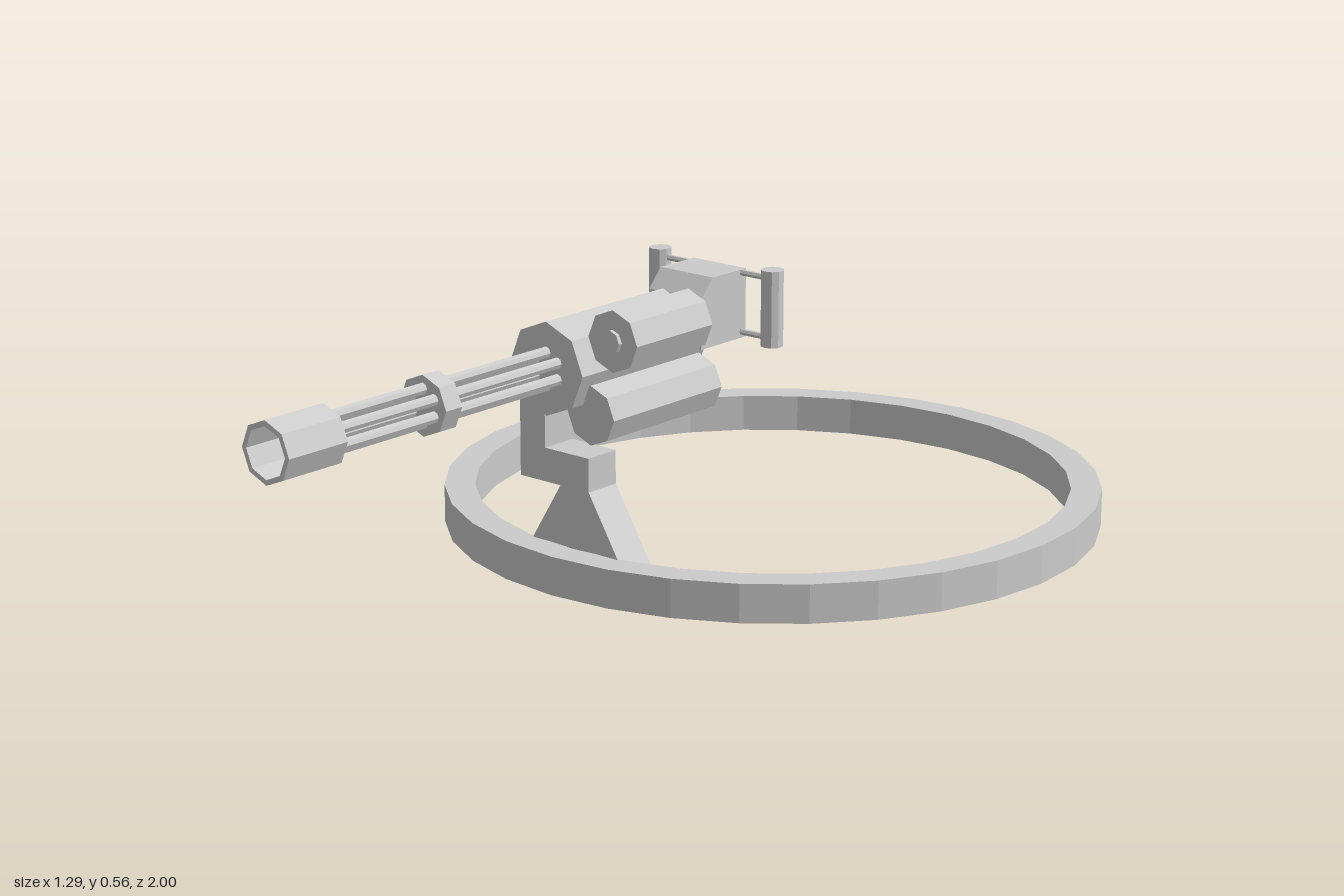
import * as THREE from 'three';

export function createModel() {
  const model = new THREE.Group();
  const mat = new THREE.MeshStandardMaterial({ color: 0xcccccc, flatShading: true });
  const cx = 0.012, cy = 0.44; // barrel axis

  const add = (name, geo, parent = model) => {
    const mesh = new THREE.Mesh(geo, mat);
    mesh.name = name;
    parent.add(mesh);
    return mesh;
  };
  const group = (name) => {
    const g = new THREE.Group();
    g.name = name;
    model.add(g);
    return g;
  };
  // Prism or cylinder lying along z
  const alongZ = (x, y, z0, z1, r, sides = 8) =>
    new THREE.CylinderGeometry(r, r, z1 - z0, sides)
      .rotateX(Math.PI / 2).translate(x, y, (z0 + z1) / 2);
  // Square-section ring standing on y = 0
  const ring = (ri, ro, h, sides) => new THREE.LatheGeometry(
    [[ri, 0], [ro, 0], [ro, h], [ri, h], [ri, 0]].map(p => new THREE.Vector2(...p)), sides);
  const extrude = (pts, depth) => new THREE.ExtrudeGeometry(
    new THREE.Shape(pts.map(p => new THREE.Vector2(...p))), { depth, bevelEnabled: false });
  // Side profile of (z, y) points, extruded from x0 to x1
  const sideProfile = (pts, x0, x1) =>
    extrude(pts, x1 - x0).rotateY(-Math.PI / 2).translate(x1, 0, 0);

  // Mounting ring
  add('mountingRing', ring(0.585, 0.645, 0.075, 32).translate(0, 0, -0.355));

  // Pedestal with offset arm, inside the front of the ring
  const mount = group('mount');
  add('pedestal', extrude([
    [-0.122, 0], [0.122, 0], [0.122, 0.048], [0.035, 0.19], [0.035, 0.255],
    [-0.073, 0.255], [-0.073, 0.19], [-0.035, 0.19], [-0.122, 0.048],
  ], 0.075).translate(0, 0, 0.15), mount);
  add('mountArm', sideProfile([
    [0.15, 0.19], [0.225, 0.19], [0.225, 0.435], [0.2, 0.46], [0.15, 0.46],
  ], -0.135, -0.073), mount);

  // Receiver
  const receiver = group('receiver');
  add('receiverBody', alongZ(cx, cy, -0.01, 0.312, 0.088), receiver);
  add('receiverRear', alongZ(cx, cy, -0.06, -0.01, 0.07), receiver);

  // Drive motor and feed drum on the left side
  add('motor', alongZ(0.133, 0.503, 0.06, 0.268, 0.058), receiver);
  add('motorCap', alongZ(0.133, 0.503, 0.26, 0.276, 0.022), receiver);
  add('feedDrum', alongZ(0.093, 0.361, -0.018, 0.283, 0.056), receiver);

  // Rotary barrel cluster
  const barrels = group('barrelCluster');
  for (let i = 0; i < 6; i++) {
    const a = Math.PI / 2 + i * Math.PI / 3;
    add('barrel', alongZ(cx + 0.031 * Math.cos(a), cy + 0.031 * Math.sin(a), 0.3, 0.9, 0.011, 8), barrels);
  }
  add('barrelClamp', alongZ(cx, cy, 0.588, 0.628, 0.056), barrels);
  add('muzzlePlate', alongZ(cx, cy, 0.866, 0.885, 0.052), barrels);
  add('muzzleShroud', ring(0.047, 0.057, 0.135, 8)
    .rotateX(Math.PI / 2).translate(cx, cy, 0.865), barrels);

  // Rear grip housing with sloped front, two handles and two triggers
  const grips = group('rearGrips');
  add('gripHousing', sideProfile([
    [-0.175, 0.413], [-0.045, 0.413], [-0.045, 0.51], [-0.078, 0.546], [-0.175, 0.546],
  ], cx - 0.064, cx + 0.064), grips);
  for (const s of [-1, 1]) {
    add('handle', new THREE.CylinderGeometry(0.022, 0.022, 0.147, 10)
      .translate(cx + s * 0.138, 0.484, -0.163), grips);
    for (const y of [0.425, 0.54]) {
      add('handleRod', new THREE.CylinderGeometry(0.006, 0.006, 0.09, 6)
        .rotateZ(Math.PI / 2).translate(cx + s * 0.095, y, -0.163), grips);
    }
    add('trigger', alongZ(cx + s * 0.042, 0.505, -0.192, -0.17, 0.009), grips);
  }
  return model;
}
